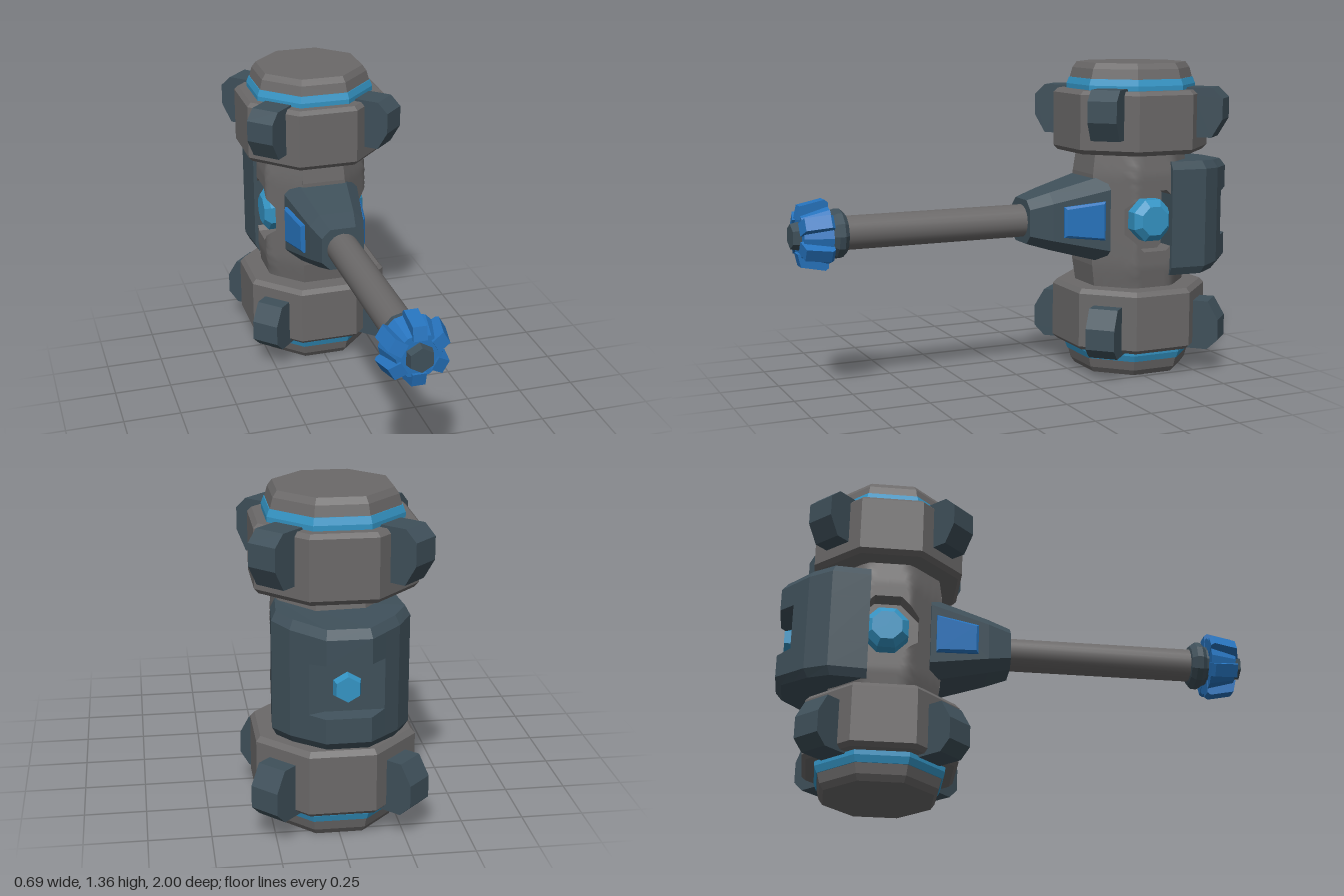
import * as THREE from 'three';
import { ParametricGeometry } from 'three/addons/geometries/ParametricGeometry.js';
import { toCreasedNormals } from 'three/addons/utils/BufferGeometryUtils.js';

const flat = (color) => new THREE.MeshStandardMaterial({ color, flatShading: true });
const smooth = (color) => new THREE.MeshStandardMaterial({ color });
const GREY = 0x6b6969, SLATE = 0x3f505a, BLUE = 0x2673bd, CYAN = 0x3494c4;
const OCT = Math.cos(Math.PI / 8);
const HEAD_Y = 0.68, HEAD_Z = -0.555, SHAFT_Y = 0.685;

function add(parent, name, geometry, material) {
  const mesh = new THREE.Mesh(geometry, material);
  mesh.name = name;
  parent.add(mesh);
  return mesh;
}

// Eight-sided lathe with flats on the axes; radii are given to the flats
function octLathe(profile) {
  const pts = profile.map(([r, y]) => new THREE.Vector2(r / OCT, y));
  return new THREE.LatheGeometry(pts, 8, Math.PI / 8);
}

// Closed skin through rings of [x, y, z], each counter-clockwise about the travel direction
function loft(rings) {
  const n = rings[0].length, last = rings.length - 1, pos = [];
  const tri = (a, b, c) => pos.push(...a, ...b, ...c);
  for (let k = 0; k < last; k++) {
    for (let i = 0; i < n; i++) {
      const j = (i + 1) % n, A = rings[k], B = rings[k + 1];
      tri(A[i], A[j], B[j]);
      tri(A[i], B[j], B[i]);
    }
  }
  for (let i = 1; i < n - 1; i++) {
    tri(rings[0][0], rings[0][i + 1], rings[0][i]);
    tri(rings[last][0], rings[last][i], rings[last][i + 1]);
  }
  const g = new THREE.BufferGeometry();
  g.setAttribute('position', new THREE.Float32BufferAttribute(pos, 3));
  g.computeVertexNormals();
  return g;
}

// Flat plate of a given thickness, centred on its own plane
function plate(points, thickness) {
  const shape = new THREE.Shape(points.map(([x, y]) => new THREE.Vector2(x, y)));
  return new THREE.ExtrudeGeometry(shape, { depth: thickness, bevelEnabled: false })
    .translate(0, 0, -thickness / 2);
}

// One striking end: collar, coloured band, cap and four diagonal claws
function headEnd(name) {
  const end = new THREE.Group();
  end.name = name;
  add(end, 'collar', octLathe([[0.18, 0.293], [0.298, 0.293], [0.315, 0.313], [0.315, 0.548],
    [0.298, 0.565], [0.18, 0.565]]), flat(GREY));
  add(end, 'band', octLathe([[0.263, 0.55], [0.263, 0.585], [0.253, 0.613], [0.2, 0.613]]), flat(CYAN));
  add(end, 'cap', octLathe([[0.25, 0.612], [0.239, 0.655], [0.222, 0.68], [0, 0.68]]), flat(GREY));
  const claw = [[0.26, 0.555], [0.27, 0.575], [0.38, 0.575], [0.427, 0.53], [0.427, 0.44],
    [0.38, 0.36], [0.3, 0.36], [0.3, 0.54]];
  for (let k = 0; k < 4; k++) {
    add(end, 'claw', plate(claw, 0.127).rotateY(Math.PI / 4 + k * Math.PI / 2), flat(SLATE));
  }
  return end;
}

// Narrow the body slightly toward its ends
function taper(g) {
  const p = g.attributes.position;
  for (let i = 0; i < p.count; i++) {
    const s = 1 - Math.max(0, Math.abs(p.getY(i)) - 0.2) * 0.6;
    p.setXYZ(i, p.getX(i) * s, p.getY(i), p.getZ(i) * s);
  }
  g.computeVertexNormals();
  return g;
}

// Octagonal middle with a sunken gem socket in each side
function middle() {
  const body = new THREE.Group();
  body.name = 'headMiddle';
  const A = 0.235, F = A * Math.tan(Math.PI / 8);
  const surfaceX = (z) => A - Math.max(0, Math.abs(z) - F);
  const hole = (a) => 0.133 / Math.cos(((a + Math.PI / 8) % (Math.PI / 4)) - Math.PI / 8);
  const side = (u, v, t) => {
    const a = u * Math.PI * 2, c = Math.cos(a), s = Math.sin(a), h = hole(a);
    const edge = Math.min(0.36 / Math.max(Math.abs(c), 1e-6), A / Math.max(Math.abs(s), 1e-6));
    const r = h + (edge - h) * v, z = -r * s;
    t.set(surfaceX(z), r * c, z);
  };
  const wall = (u, v, t) => {
    const a = u * Math.PI * 2, r = hole(a), z = -r * Math.sin(a);
    t.set(0.15 + (surfaceX(z) - 0.15) * v, r * Math.cos(a), z);
  };
  add(body, 'frontAndBackFacets', taper(new THREE.BoxGeometry(F * 2, 0.72, A * 2, 1, 18, 1)), flat(GREY));
  for (const turn of [0, Math.PI]) {
    add(body, 'sideShell', taper(new ParametricGeometry(side, 64, 16)).rotateY(turn), smooth(GREY));
    add(body, 'socketWall', new ParametricGeometry(wall, 64, 1).rotateY(turn), flat(GREY));
    add(body, 'socketFloor', octLathe([[0.14, 0.155], [0, 0.155]]).rotateZ(-Math.PI / 2).rotateY(turn), flat(GREY));
    add(body, 'sideGem', octLathe([[0.09, 0.15], [0.09, 0.21], [0.062, 0.235], [0, 0.235]])
      .rotateZ(-Math.PI / 2).rotateY(turn), flat(CYAN));
  }
  return body;
}

// Armour wrapped round the back, notched for a gem
function backArmour() {
  const armour = new THREE.Group();
  armour.name = 'backArmour';
  const half = [[0.25, -0.63], [0.263, -0.79], [0.205, -0.885], [0.142, -0.945], [0.085, -1]];
  const outline = [...half, ...half.map(([x, z]) => [-x, z]).reverse()];
  const ring = (y, inset = 1, floor = -1) => outline.map(([x, z]) => {
    const slope = Math.abs(y) > 0.2 ? 1 - 0.3 * Math.max(0, -z - 0.8) : 1;
    return [x * inset, SHAFT_Y + y * slope, Math.max(-0.63 + (z + 0.63) * inset, floor)];
  });
  const N = -0.945;
  add(armour, 'armourPlate', loft([ring(-0.25, 0.93), ring(-0.215), ring(-0.105), ring(-0.095, 1, N),
    ring(0.095, 1, N), ring(0.105), ring(0.215), ring(0.25, 0.93)]), flat(SLATE));
  add(armour, 'backGem', new THREE.CylinderGeometry(0.05, 0.062, 0.04, 6)
    .rotateX(-Math.PI / 2).translate(0, SHAFT_Y, -0.957), flat(CYAN));
  return armour;
}

// Flared bracket joining the shaft to the head, with a window on each side
function bracket() {
  const g = new THREE.Group();
  g.name = 'bracket';
  g.position.y = SHAFT_Y;
  const ring = (w, h, c, z) => [[w, -h + c], [w, h - c], [w - c, h], [-w + c, h],
    [-w, h - c], [-w, -h + c], [-w + c, -h], [w - c, -h]].map(([x, y]) => [x, y, z]);
  add(g, 'bracketShell', loft([ring(0.17, 0.192, 0.058, -0.37), ring(0.122, 0.125, 0.045, -0.12),
    ring(0.095, 0.095, 0.038, -0.022)]), flat(SLATE));
  const pane = (lift, inset) => [[0.085 - inset, -0.345 + inset], [0.066 - inset, -0.165 - inset],
    [-0.066 + inset, -0.165 - inset], [-0.085 + inset, -0.345 + inset]]
    .map(([y, z]) => [0.122 + 0.192 * (-z - 0.12) + lift, y, z]);
  for (const turn of [0, Math.PI]) {
    add(g, 'window', loft([pane(-0.02, 0), pane(0.008, 0), pane(0.016, 0.01)]).rotateZ(turn), flat(BLUE));
  }
  return g;
}

// Shaft with a ribbed pommel
function handle() {
  const g = new THREE.Group();
  g.name = 'handle';
  g.position.y = SHAFT_Y;
  const rod = (r1, r0, z0, z1, sides) => new THREE.CylinderGeometry(r1, r0, z1 - z0, sides)
    .rotateX(Math.PI / 2).translate(0, 0, (z0 + z1) / 2);
  add(g, 'shaft', toCreasedNormals(rod(0.071, 0.071, -0.1, 0.79, 20), 0.6), smooth(GREY));
  const collar = [[0.06, 0.77], [0.085, 0.775], [0.103, 0.795], [0.103, 0.82], [0.085, 0.84], [0.085, 0.87]];
  add(g, 'pommelCollar', new THREE.LatheGeometry(collar.map(([r, y]) => new THREE.Vector2(r, y)), 12)
    .rotateX(Math.PI / 2), flat(SLATE));
  add(g, 'pommelCore', rod(0.092, 0.125, 0.85, 0.965, 12), flat(BLUE));
  for (let k = 0; k < 6; k++) {
    const rib = plate([[0.07, 0.848], [0.135, 0.848], [0.146, 0.862], [0.125, 0.965], [0.07, 0.978]], 0.056);
    add(g, 'pommelRib', rib.rotateX(Math.PI / 2).rotateZ(Math.PI / 2 + k * Math.PI / 3), flat(BLUE));
  }
  add(g, 'pommelTip', rod(0.052, 0.062, 0.95, 1, 6), flat(SLATE));
  return g;
}

export function createModel() {
  const model = new THREE.Group();
  model.name = 'warHammer';
  const head = new THREE.Group();
  head.name = 'head';
  head.position.set(0, HEAD_Y, HEAD_Z);
  const bottom = headEnd('bottomEnd');
  bottom.rotation.x = Math.PI;
  head.add(headEnd('topEnd'), bottom, middle());
  model.add(head, backArmour(), bracket(), handle());
  return model;
}
